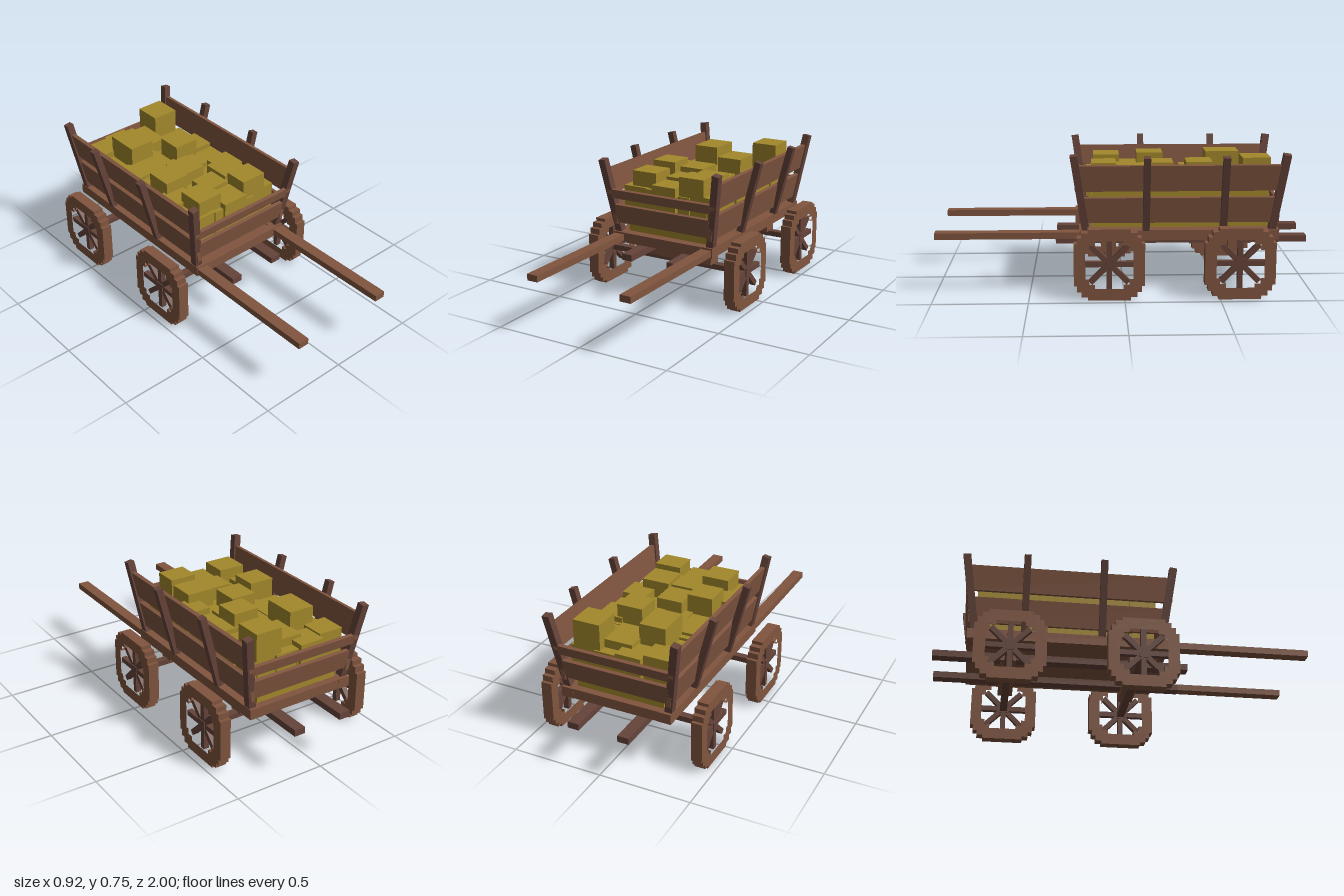
import * as THREE from 'three';

const mat = (color) => new THREE.MeshStandardMaterial({ color, flatShading: true });

export function createModel() {
  const cart = new THREE.Group();
  const wood = mat(0x80553f), darkWood = mat(0x66443a), straw = mat(0xa3882b);

  const add = (name, geometry, material, parent = cart) => {
    const mesh = new THREE.Mesh(geometry, material);
    mesh.name = name;
    parent.add(mesh);
    return mesh;
  };
  // Box given by its lower and upper limits on each axis
  const block = (name, m, x0, x1, y0, y1, z0, z1, parent) => {
    const b = add(name, new THREE.BoxGeometry(x1 - x0, y1 - y0, z1 - z0), m, parent);
    b.position.set((x0 + x1) / 2, (y0 + y1) / 2, (z0 + z1) / 2);
    return b;
  };
  // Square post running from a to b
  const post = (name, a, b, size) => {
    const p = new THREE.Vector3(...a), q = new THREE.Vector3(...b);
    const mesh = add(name, new THREE.BoxGeometry(size, p.distanceTo(q), size), darkWood);
    mesh.position.copy(p).lerp(q, 0.5);
    mesh.quaternion.setFromUnitVectors(new THREE.Vector3(0, 1, 0), q.sub(p).normalize());
  };

  const bedMid = -0.293; // z of the middle of the bed

  // Bed: floor, rails and end beams
  block('floor', wood, -0.25, 0.25, 0.305, 0.335, -0.79, 0.2);
  for (const s of [-1, 1]) {
    block('sideRail', wood, s * 0.275 - 0.035, s * 0.275 + 0.035, 0.285, 0.34, -0.825, 0.235);
    const z = bedMid + s * 0.51;
    block('endBeam', wood, -0.24, 0.24, 0.285, 0.34, z - 0.02, z + 0.02);
    // Pulling shafts in front and long poles underneath
    block('shaft', wood, s * 0.275 - 0.031, s * 0.275 + 0.031, 0.295, 0.33, 0.2, 1);
    block('underPole', darkWood, s * 0.14 - 0.031, s * 0.14 + 0.031, 0.235, 0.27, -1, 0.365);
  }

  // Wheel: stepped rim with a stepped opening, mirrored from one quadrant
  const ring = (quad, path) => {
    const flip = quad.slice().reverse();
    const all = [
      ...quad,
      ...flip.map(([x, y]) => [x, -y]),
      ...quad.map(([x, y]) => [-x, -y]),
      ...flip.map(([x, y]) => [-x, y]),
    ];
    path.setFromPoints(all.map(([x, y]) => new THREE.Vector2(x, y)));
    return path;
  };
  const rim = ring([[0.112, 0.19], [0.112, 0.172], [0.145, 0.172], [0.145, 0.145],
    [0.168, 0.145], [0.168, 0.112], [0.185, 0.112]], new THREE.Shape());
  rim.holes.push(ring([[0.075, 0.128], [0.075, 0.105], [0.105, 0.105], [0.105, 0.075],
    [0.125, 0.075]], new THREE.Path()));
  const rimGeo = new THREE.ExtrudeGeometry(rim, { depth: 0.06, bevelEnabled: false });
  rimGeo.translate(0, 0, -0.03).rotateY(Math.PI / 2);

  for (const z of [0.08, -0.602]) {
    // Axle with the bolster carrying the bed
    block('axle', darkWood, -0.42, 0.42, 0.175, 0.205, z - 0.02, z + 0.02);
    block('bolster', wood, -0.24, 0.24, 0.2, 0.287, z - 0.04, z + 0.04);
    for (const s of [-1, 1]) {
      const wheel = new THREE.Group();
      wheel.name = 'wheel';
      wheel.position.set(s * 0.43, 0.192, z);
      cart.add(wheel);
      add('rim', rimGeo, wood, wheel);
      for (let i = 0; i < 4; i++) {
        const spoke = add('spoke', new THREE.BoxGeometry(0.03, 0.28, 0.028), darkWood, wheel);
        spoke.rotation.x = (i * Math.PI) / 4;
      }
      add('hub', new THREE.BoxGeometry(0.04, 0.05, 0.05), darkWood, wheel);
    }
  }

  // Flared sides: posts and boards
  const lean = 0.158;
  for (const s of [-1, 1]) {
    for (const e of [-1, 1]) {
      post('cornerPost', [s * 0.287, 0.34, bedMid + e * 0.495], [s * 0.352, 0.75, bedMid + e * 0.555], 0.04);
    }
    for (const z of [-0.118, -0.528]) {
      post('middlePost', [s * 0.295, 0.34, z], [s * 0.4, 0.745, z], 0.036);
    }
    for (const [y, h, len] of [[0.625, 0.14, 1.1], [0.45, 0.14, 1.06]]) {
      const b = add('sideBoard', new THREE.BoxGeometry(0.022, h, len), wood);
      b.position.set(s * (0.287 + lean * (y - 0.34)), y, bedMid);
      b.rotation.z = -s * lean;
    }
    for (const [y, h, w] of [[0.56, 0.05, 0.62], [0.447, 0.103, 0.59]]) {
      const b = add('endBoard', new THREE.BoxGeometry(w, h, 0.022), wood);
      b.position.set(0, y, bedMid + s * (0.505 + 0.146 * (y - 0.34)));
      b.rotation.x = s * 0.146;
    }
  }

  // Straw load: a base, a layer of low bales, then the taller bales
  const load = new THREE.Group();
  load.name = 'strawLoad';
  cart.add(load);
  block('strawBase', straw, -0.25, 0.24, 0.335, 0.52, -0.78, 0.17, load);
  let seed = 7;
  const rand = () => (seed = (seed * 16807) % 2147483647) / 2147483647;
  for (let i = 0; i < 4; i++) {
    for (let j = 0; j < 7; j++) {
      const x = -0.205 + i * 0.137 + (rand() - 0.5) * 0.02;
      const z = -0.71 + j * 0.136 + (rand() - 0.5) * 0.03;
      const top = 0.54 + rand() * 0.06;
      block('lowBale', straw, x - 0.072, x + 0.072, top - 0.15, top, z - 0.072, z + 0.072, load);
    }
  }
  // x from, x to, z from, z to, top
  const bales = [
    [-0.14, 0, -0.81, -0.67, 0.6], [-0.28, -0.14, -0.78, -0.64, 0.61],
    [-0.195, -0.05, -0.65, -0.465, 0.7], [-0.055, 0.1, -0.735, -0.545, 0.62],
    [0.1, 0.25, -0.78, -0.63, 0.715], [0.025, 0.17, -0.48, -0.34, 0.68],
    [-0.28, -0.06, -0.47, -0.33, 0.6], [0.14, 0.28, -0.49, -0.35, 0.61],
    [-0.25, -0.11, -0.23, -0.085, 0.685], [-0.1, 0.045, -0.28, -0.13, 0.655],
    [0.145, 0.285, -0.22, -0.08, 0.61], [-0.08, 0.065, -0.08, 0.05, 0.64],
    [0.06, 0.215, -0.12, 0.03, 0.66], [-0.23, -0.08, 0.015, 0.16, 0.68],
    [0.07, 0.22, 0.04, 0.17, 0.685], [-0.085, 0.065, 0.06, 0.2, 0.625],
    [-0.28, -0.14, -0.11, 0.03, 0.62],
  ];
  for (const [x0, x1, z0, z1, top] of bales) {
    block('bale', straw, x0, x1, top - 0.15, top, z0, z1, load);
  }

  return cart;
}
